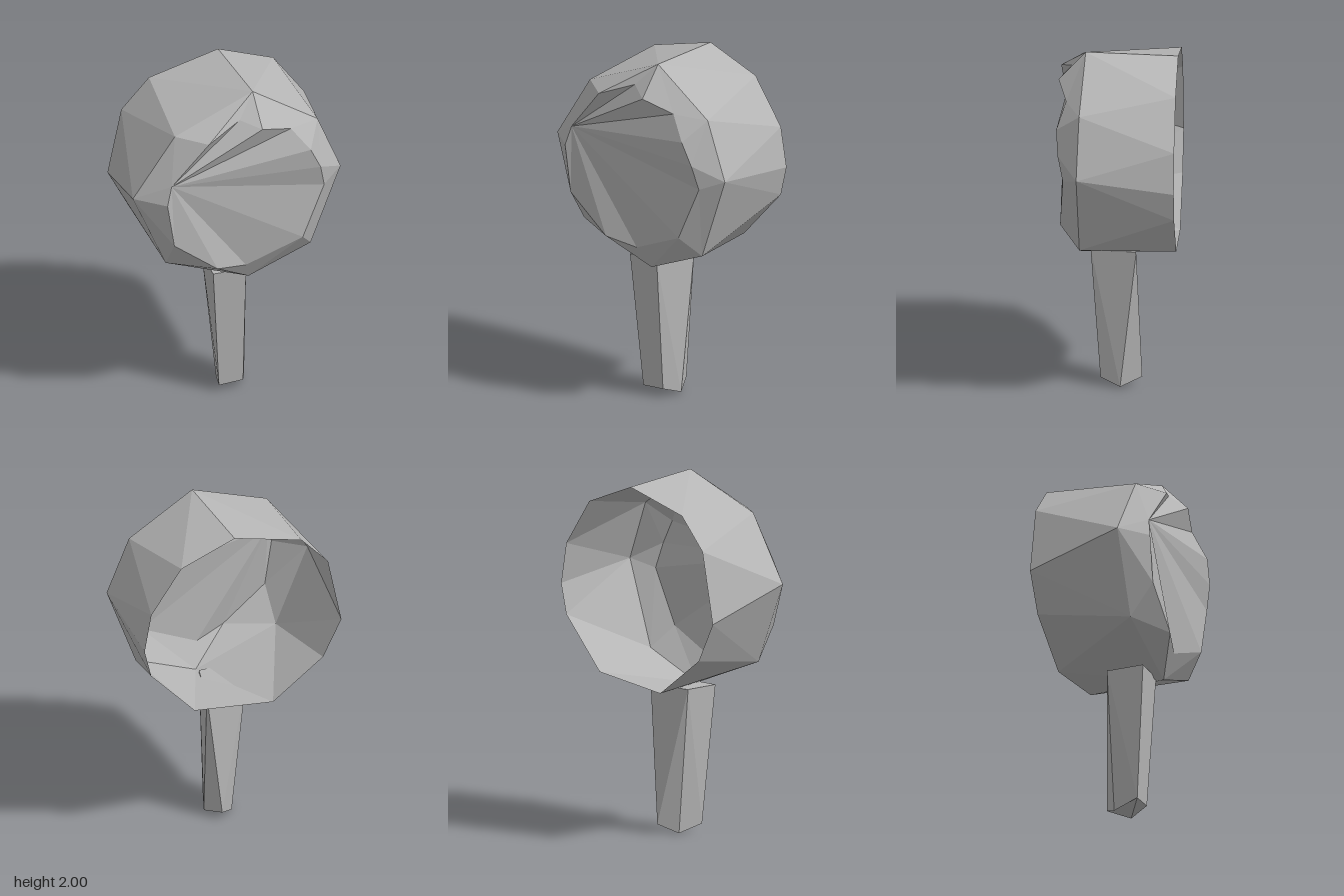
import * as THREE from 'three';

const grey = new THREE.MeshStandardMaterial({ color: 0xb6b6b6, flatShading: true, side: THREE.DoubleSide });
grey.name = 'plain grey';

// Angles of a point about the head's axis (z) and the handle's axis (y)
const aboutHead = ([x, y]) => Math.atan2(y - 1.4, x);
const aboutHandle = ([x, , z]) => Math.atan2(-z, x);

// Triangles between two rings whose point counts may differ, matched by angle
function bridge(ringA, ringB, angle) {
  const sorted = (ring) => ring.map((p) => ({ p, t: angle(p) })).sort((m, n) => m.t - n.t);
  const a = sorted(ringA), b = sorted(ringB), out = [];
  const at = (r, i) => ({ p: r[i % r.length].p, t: r[i % r.length].t + (i >= r.length ? 2 * Math.PI : 0) });
  let i = 0, j = 0;
  while (i < a.length || j < b.length) {
    const a0 = at(a, i), a1 = at(a, i + 1), b0 = at(b, j), b1 = at(b, j + 1);
    const stepA = j >= b.length || (i < a.length && a0.t + a1.t < b0.t + b1.t);
    if (stepA) { out.push(a0.p, a1.p, b0.p); i++; } else { out.push(a0.p, b1.p, b0.p); j++; }
  }
  return out;
}

// Fan of triangles from the first point of a ring
function fan(ring) {
  const out = [];
  for (let i = 1; i < ring.length - 1; i++) out.push(ring[0], ring[i], ring[i + 1]);
  return out;
}

function facetMesh(name, points) {
  const geometry = new THREE.BufferGeometry();
  geometry.setAttribute('position', new THREE.Float32BufferAttribute(points.flat(), 3));
  geometry.computeVertexNormals();
  const mesh = new THREE.Mesh(geometry, grey);
  mesh.name = name;
  return mesh;
}

export function createModel() {
  const group = new THREE.Group();
  group.name = 'handledDrum';

  // Open rear edge, anticlockwise from the right
  const rear = [
    [0.56, 1.59], [0.38, 1.85], [0.06, 1.97], [-0.34, 1.86], [-0.5, 1.68], [-0.58, 1.28],
    [-0.47, 1.06], [-0.17, 0.84], [0.3, 0.9], [0.56, 1.19], [0.6, 1.36],
  ].map(([x, y]) => [x, y, -0.33]);

  // Front shoulder of the wall
  const shoulder = [
    [0.6, 1.43, 0.21], [0.47, 1.76, 0.2], [0.1, 2, 0.18], [-0.36, 1.81, 0.21],
    [-0.6, 1.44, 0.2], [-0.41, 0.98, 0.2], [0.07, 0.8, 0.2], [0.43, 0.95, 0.2],
  ];

  // Uneven edge of the front panel, starting at the corner its facets fan from
  const face = [
    [-0.41, 1.55, 0.31], [-0.44, 1.44, 0.33], [-0.4, 1.17, 0.33], [-0.15, 0.97, 0.33],
    [0.03, 0.93, 0.28], [0.35, 1.07, 0.31], [0.48, 1.38, 0.29], [0.45, 1.52, 0.32],
    [0.39, 1.65, 0.33], [0.29, 1.78, 0.28], [0.11, 1.84, 0.33], [0, 1.88, 0.26], [-0.2, 1.8, 0.33],
  ];

  group.add(facetMesh('headWall', bridge(rear, shoulder, aboutHead)));
  group.add(facetMesh('frontBevel', bridge(shoulder, face, aboutHead)));
  group.add(facetMesh('frontPanel', fan(face)));

  // Tapered handle with a blunt, chipped foot
  const foot = [
    [-0.07, 0.04, 0.1], [-0.04, 0, -0.05], [0.05, 0.05, -0.13], [0.11, 0.01, -0.01], [0.07, 0.05, 0.1],
  ];
  const top = [[-0.12, 0.82, 0.155], [-0.12, 0.82, -0.06], [0.13, 0.82, -0.1], [0.07, 0.82, 0.155]];
  group.add(facetMesh('handle', [
    ...bridge(foot, top, aboutHandle),
    ...fan(foot),
    ...fan([...top].reverse()),
  ]));

  return group;
}
